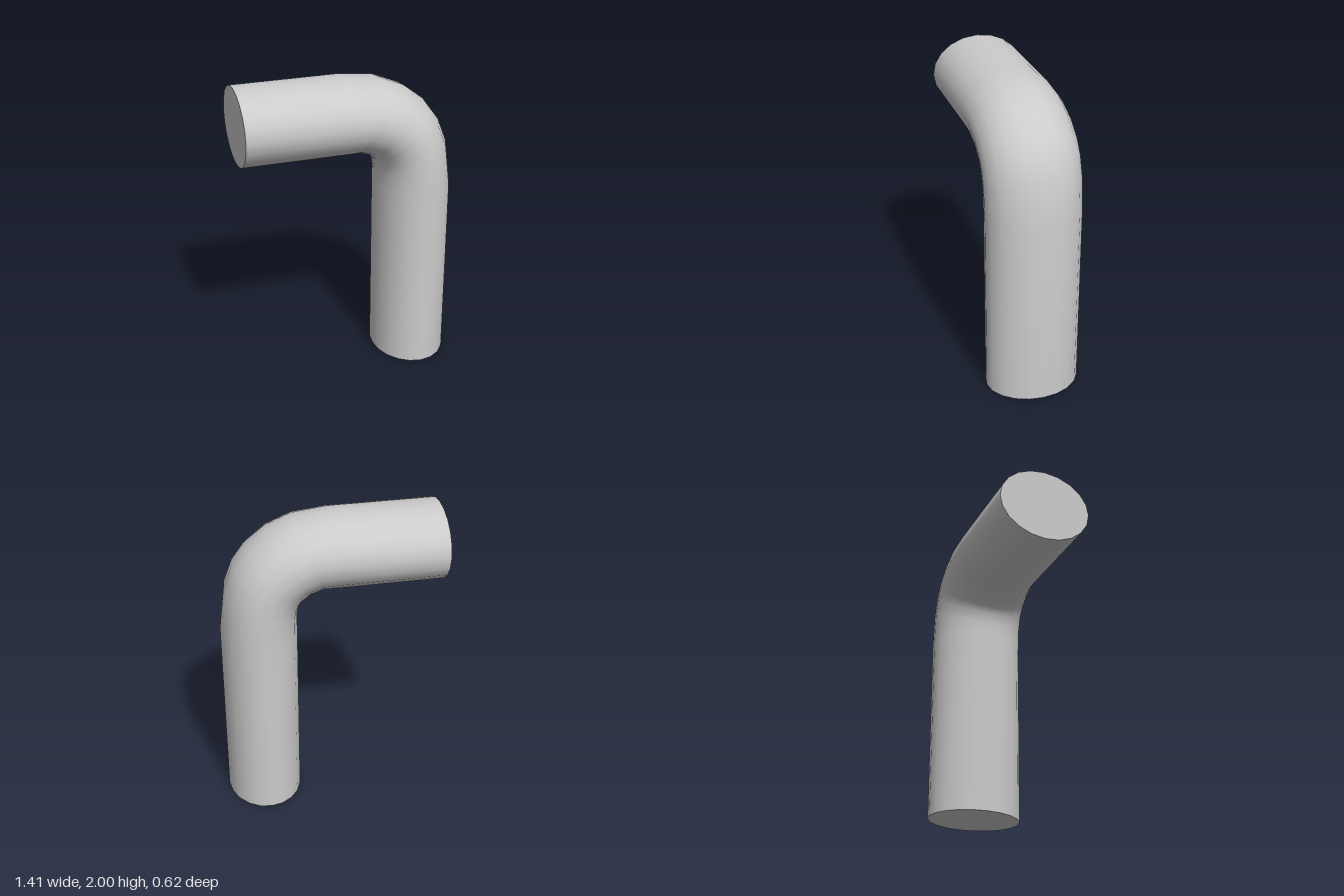
import * as THREE from 'three';
import { toCreasedNormals } from 'three/addons/utils/BufferGeometryUtils.js';

const SIDES = 20;
const HALF_THICK = 0.2475; // in the plane of the bend
const HALF_WIDTH = 0.31;   // along z

// Cross-sections along the pipe: centre x, centre y, turn in degrees
const SECTIONS = [
  [-0.705, 1.7525, 0],
  [-0.02, 1.7525, 0],
  [0.132, 1.742, 21],
  [0.257, 1.695, 33],
  [0.353, 1.622, 45],
  [0.404, 1.55, 56],
  [0.44, 1.44, 67],
  [0.4575, 1.25, 90],
  [0.4575, 0, 90],
];

// Elliptical tube through the sections, closed with flat ends
function bentPipe(sections) {
  const positions = [];
  const index = [];
  for (const [cx, cy, turn] of sections) {
    const t = THREE.MathUtils.degToRad(turn);
    for (let j = 0; j < SIDES; j++) {
      const a = (j / SIDES) * Math.PI * 2;
      const r = HALF_THICK * Math.cos(a);
      positions.push(cx + r * Math.sin(t), cy + r * Math.cos(t), HALF_WIDTH * Math.sin(a));
    }
  }
  const last = sections.length - 1;
  const startCentre = positions.length / 3;
  positions.push(sections[0][0], sections[0][1], 0);
  positions.push(sections[last][0], sections[last][1], 0);

  for (let j = 0; j < SIDES; j++) {
    const k = (j + 1) % SIDES;
    for (let i = 0; i < last; i++) {
      const p = i * SIDES;
      const q = p + SIDES;
      index.push(p + j, p + k, q + k, p + j, q + k, q + j);
    }
    index.push(startCentre, k, j);
    index.push(startCentre + 1, last * SIDES + j, last * SIDES + k);
  }
  const geometry = new THREE.BufferGeometry();
  geometry.setAttribute('position', new THREE.Float32BufferAttribute(positions, 3));
  geometry.setIndex(index);
  return toCreasedNormals(geometry, 0.5);
}

export function createModel() {
  const group = new THREE.Group();
  group.name = 'elbowPipe';
  const pipe = new THREE.Mesh(
    bentPipe(SECTIONS),
    new THREE.MeshStandardMaterial({ color: 0xcccccc })
  );
  pipe.name = 'bentPipe';
  group.add(pipe);
  return group;
}
